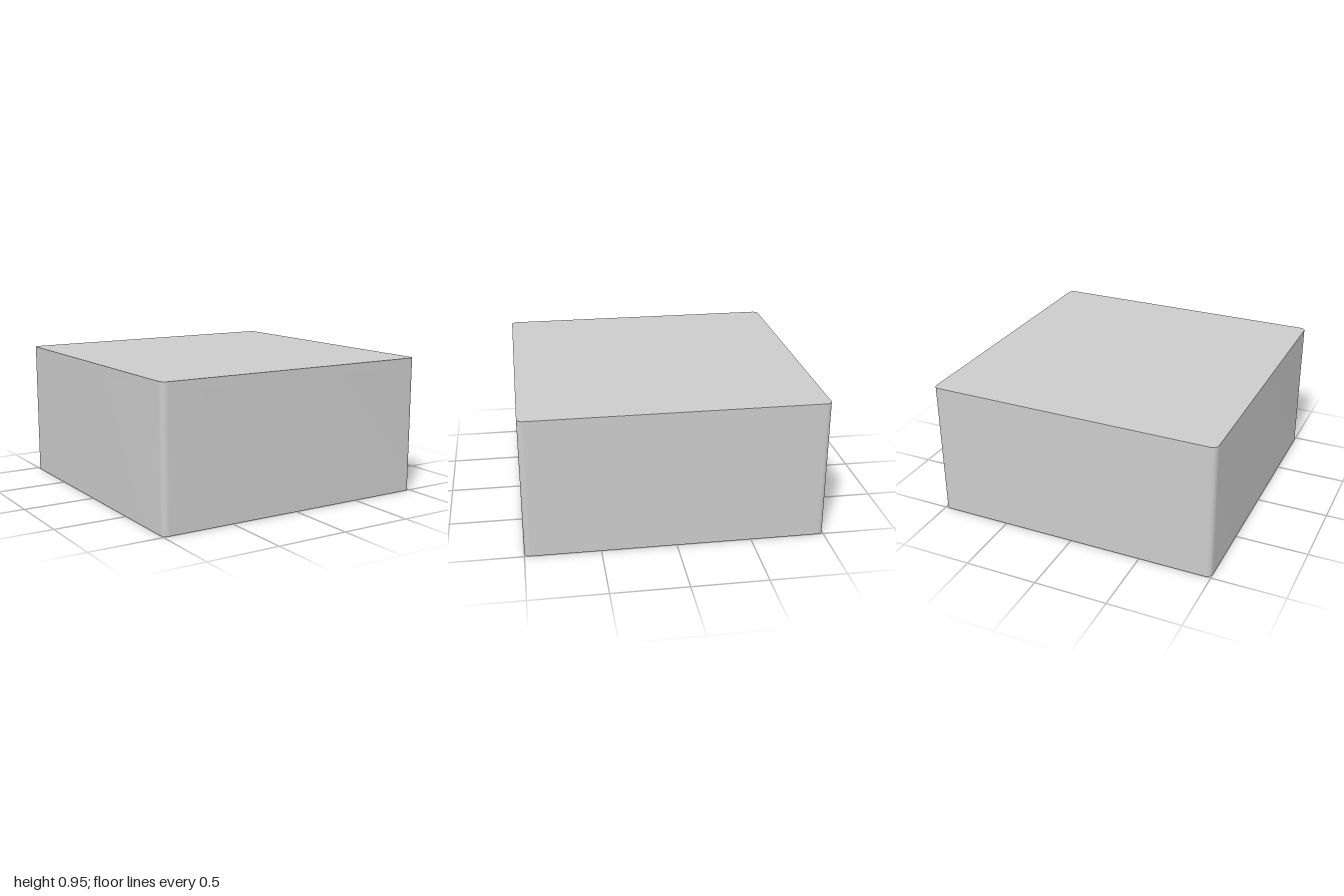
import * as THREE from 'three';
import { toCreasedNormals } from 'three/addons/utils/BufferGeometryUtils.js';

const HEIGHT = 0.95, WALL = 0.057, RADIUS = 0.04;
const CEILING = HEIGHT - WALL;

// Square outline with rounded corners
function roundedSquare(half, r) {
  const c = half - r, s = new THREE.Shape();
  s.absarc(c, c, r, 0, Math.PI / 2);
  s.absarc(-c, c, r, Math.PI / 2, Math.PI);
  s.absarc(-c, -c, r, Math.PI, Math.PI * 1.5);
  s.absarc(c, -c, r, Math.PI * 1.5, Math.PI * 2);
  s.closePath();
  return s;
}

// Extrude a plan outline upwards from height y
function extrudeUp(shape, y, height) {
  const g = new THREE.ExtrudeGeometry(shape, { depth: height, bevelEnabled: false, curveSegments: 8 });
  g.rotateX(-Math.PI / 2).translate(0, y, 0);
  return toCreasedNormals(g, Math.PI / 6);
}

export function createModel() {
  const group = new THREE.Group();
  group.name = 'enclosureCover';
  const material = new THREE.MeshStandardMaterial({ color: 0xcccccc });
  const add = (name, geometry) => {
    const mesh = new THREE.Mesh(geometry, material);
    mesh.name = name;
    group.add(mesh);
    return mesh;
  };

  // Four walls around a sharp-cornered cavity, open below
  const h = 1 - WALL;
  const ring = roundedSquare(1, RADIUS);
  ring.holes.push(new THREE.Path([[-h, -h], [-h, h], [h, h], [h, -h]].map(p => new THREE.Vector2(...p))));
  add('walls', extrudeUp(ring, 0, CEILING));

  // Closed top plate
  add('topPlate', extrudeUp(roundedSquare(1, RADIUS), CEILING, WALL));

  // Short pegs hanging from the ceiling, mirrored both ways
  const pegHeight = 0.07;
  const peg = new THREE.CylinderGeometry(0.053, 0.053, pegHeight, 32);
  for (const x of [-0.36, 0.36]) {
    for (const z of [-0.59, 0.59]) {
      add('peg', peg).position.set(x, CEILING - pegHeight / 2, z);
    }
  }
  return group;
}
